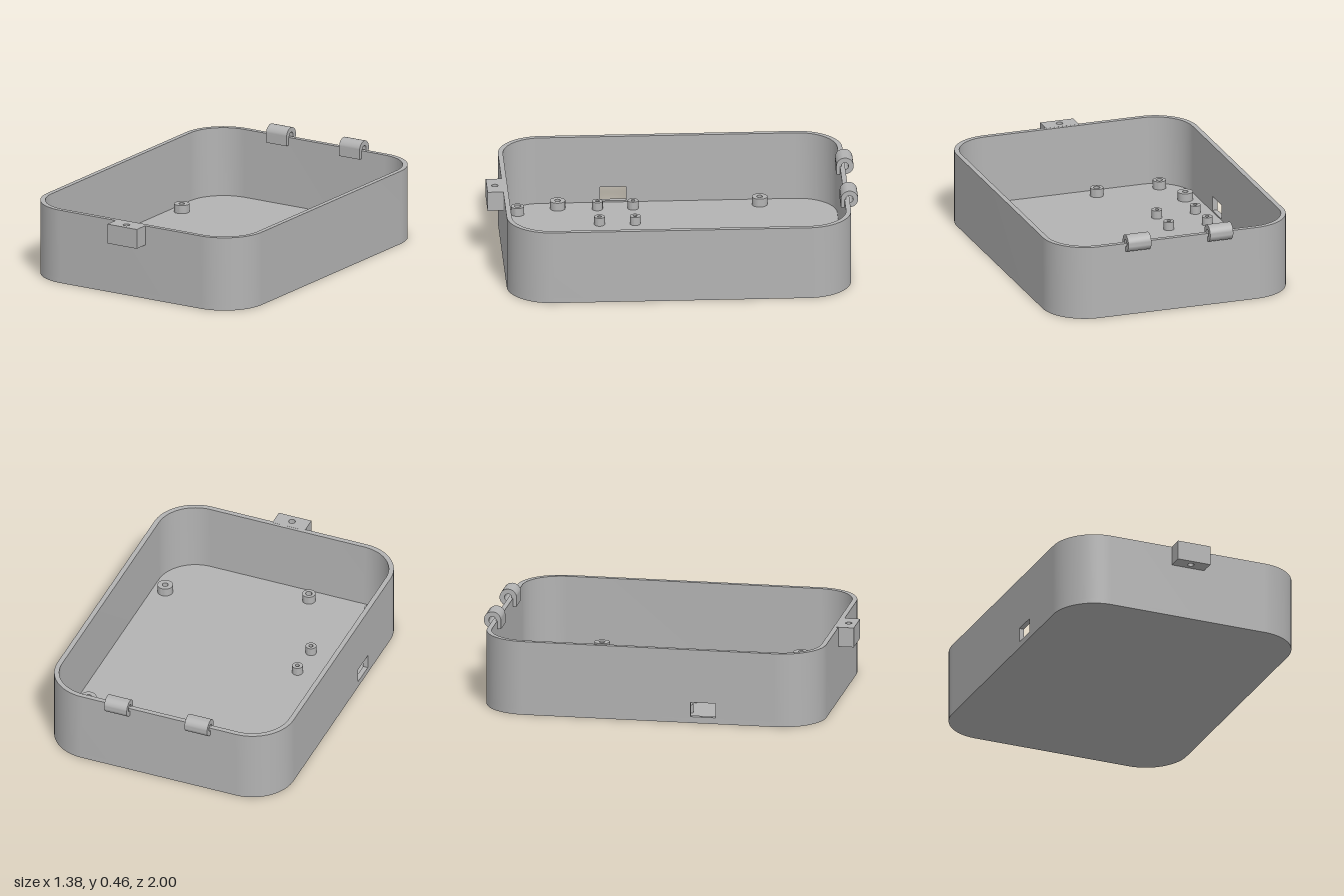
import * as THREE from 'three';
import { toCreasedNormals } from 'three/addons/utils/BufferGeometryUtils.js';

const HALF_X = 0.69, BACK = -0.95, FRONT = 0.915, HEIGHT = 0.41;
const RADIUS = 0.24, WALL = 0.027, FLOOR = 0.027;

export function createModel() {
  const model = new THREE.Group();
  model.name = 'hingedCaseBase';
  const plastic = new THREE.MeshStandardMaterial({ color: 0xb3b3b3 });
  plastic.name = 'greyPlastic';

  const add = (name, geometry, parent = model) => {
    const mesh = new THREE.Mesh(toCreasedNormals(geometry, 0.5), plastic);
    mesh.name = name;
    parent.add(mesh);
    return mesh;
  };
  const extrude = (shape, depth) =>
    new THREE.ExtrudeGeometry(shape, { depth, bevelEnabled: false, curveSegments: 16 });
  // Plan shapes use (x, -z) and rise along y from y0
  const rise = (shape, y0, y1) => extrude(shape, y1 - y0).rotateX(-Math.PI / 2).translate(0, y0, 0);
  const circle = (r, x = 0, y = 0) => new THREE.Path().absarc(x, y, r, 0, Math.PI * 2, false);
  const ring = (outer, inner) => {
    const shape = new THREE.Shape().absarc(0, 0, outer, 0, Math.PI * 2, false);
    shape.holes.push(circle(inner));
    return shape;
  };
  const rect = (x0, y0, x1, y1, Kind = THREE.Shape) =>
    new Kind([[x0, y0], [x1, y0], [x1, y1], [x0, y1]].map(p => new THREE.Vector2(...p)));

  // Rounded corners in order: back right, back left, front left, front right
  const cx = HALF_X - RADIUS, cb = -BACK - RADIUS, cf = -FRONT + RADIUS;
  const corners = [[-cx, cb, 2], [cx, cb, 1], [cx, cf, 0], [-cx, cf, -1]];
  const outline = (shape, r, reverse) => {
    for (const [x, y, q] of reverse ? [...corners].reverse() : corners) {
      const a = q * Math.PI / 2, b = a - Math.PI / 2;
      shape.absarc(x, y, r, reverse ? b : a, reverse ? a : b, !reverse);
    }
    return shape;
  };

  // Floor slab and the wall around three sides and all four corners
  add('floor', rise(outline(new THREE.Shape(), RADIUS), 0, FLOOR));
  const wall = outline(new THREE.Shape(), RADIUS);
  outline(wall, RADIUS - WALL, true);
  add('wall', rise(wall, FLOOR, HEIGHT));

  // Straight side wall with the cable window
  const side = rect(cf, FLOOR, cb, HEIGHT);
  side.holes.push(rect(-0.35, 0.035, -0.21, 0.115, THREE.Path));
  add('windowWall', extrude(side, WALL).rotateY(Math.PI / 2).translate(-HALF_X, 0, 0));

  // Screw posts: x, z, outer radius, hole radius
  const posts = new THREE.Group();
  posts.name = 'screwPosts';
  model.add(posts);
  const layout = [[-0.52, 0.805, 0.036, 0.018], [-0.16, 0.805, 0.036, 0.018]];
  for (const x of [-0.59, 0.59]) for (const z of [-0.51, 0.585]) layout.push([x, z, 0.042, 0.016]);
  for (const x of [-0.57, -0.35]) for (const z of [0.177, 0.37]) layout.push([x, z, 0.029, 0.011]);
  for (const [x, z, outer, inner] of layout) {
    add('screwPost', rise(ring(outer, inner), FLOOR, 0.073), posts).position.set(x, 0, z);
  }

  // Latch block with its screw hole
  const latch = rect(-0.095, -1, 0.095, -FRONT + 0.01);
  latch.holes.push(circle(0.018, 0, -0.955));
  add('latchBlock', rise(latch, 0.302, HEIGHT + 0.0005));

  // Hinge knuckles with a flat skirt on the inner face of the wall
  for (const s of [-1, 1]) {
    const hinge = new THREE.Group();
    hinge.name = s > 0 ? 'leftHinge' : 'rightHinge';
    hinge.position.set(s * 0.235, 0.413, BACK);
    model.add(hinge);
    add('knuckle', extrude(ring(0.047, 0.02), 0.132).translate(0, 0, -0.066).rotateY(Math.PI / 2), hinge);
    add('skirt', new THREE.BoxGeometry(0.132, 0.048, 0.022), hinge).position.set(0, -0.024, 0.036);
  }
  return model;
}
